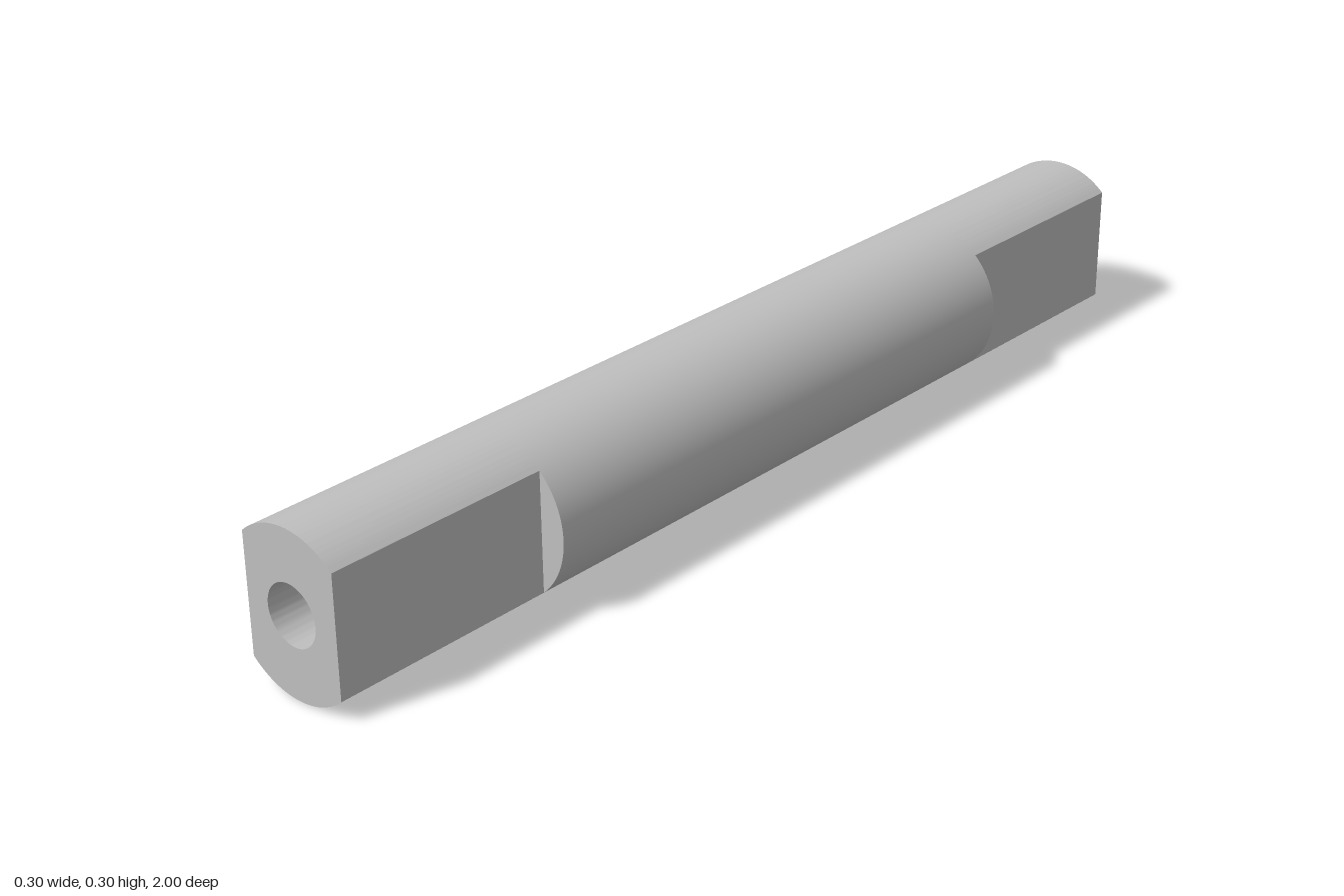
import * as THREE from 'three';
import { toCreasedNormals } from 'three/addons/utils/BufferGeometryUtils.js';

const R = 0.148;        // shaft radius
const FLAT = 0.1;       // half width across the flats
const BORE = 0.054;     // radius of the blind hole in each end
const STEP = 0.575;     // z where the flats begin
const END = 1;          // z of the end faces

export function createModel() {
  const steel = new THREE.MeshStandardMaterial({ color: 0xbfbfbf });
  steel.name = 'steel grey';

  const model = new THREE.Group();
  model.name = 'shaft';

  // Full round middle; its end caps also close the bores
  const middle = new THREE.Mesh(
    new THREE.CylinderGeometry(R, R, STEP * 2, 96).rotateX(Math.PI / 2), steel);
  middle.name = 'roundBody';
  middle.position.y = R;
  model.add(middle);

  // End section: circle cut by two upright flats, with a central bore
  const a = Math.acos(FLAT / R);
  const section = new THREE.Shape();
  section.absarc(0, 0, R, a, Math.PI - a, false);
  section.absarc(0, 0, R, Math.PI + a, Math.PI * 2 - a, false);
  section.closePath();
  const bore = new THREE.Path();
  bore.absarc(0, 0, BORE, 0, Math.PI * 2, true);
  section.holes.push(bore);

  const endGeometry = toCreasedNormals(
    new THREE.ExtrudeGeometry(section, { depth: END - STEP, bevelEnabled: false, curveSegments: 32 }),
    Math.PI / 6);

  for (const [name, turn, side] of [['frontFlattedEnd', 0, 1], ['backFlattedEnd', Math.PI, -1]]) {
    const end = new THREE.Mesh(endGeometry, steel);
    end.name = name;
    end.rotation.y = turn;
    end.position.set(0, R, side * STEP);
    model.add(end);
  }

  return model;
}
